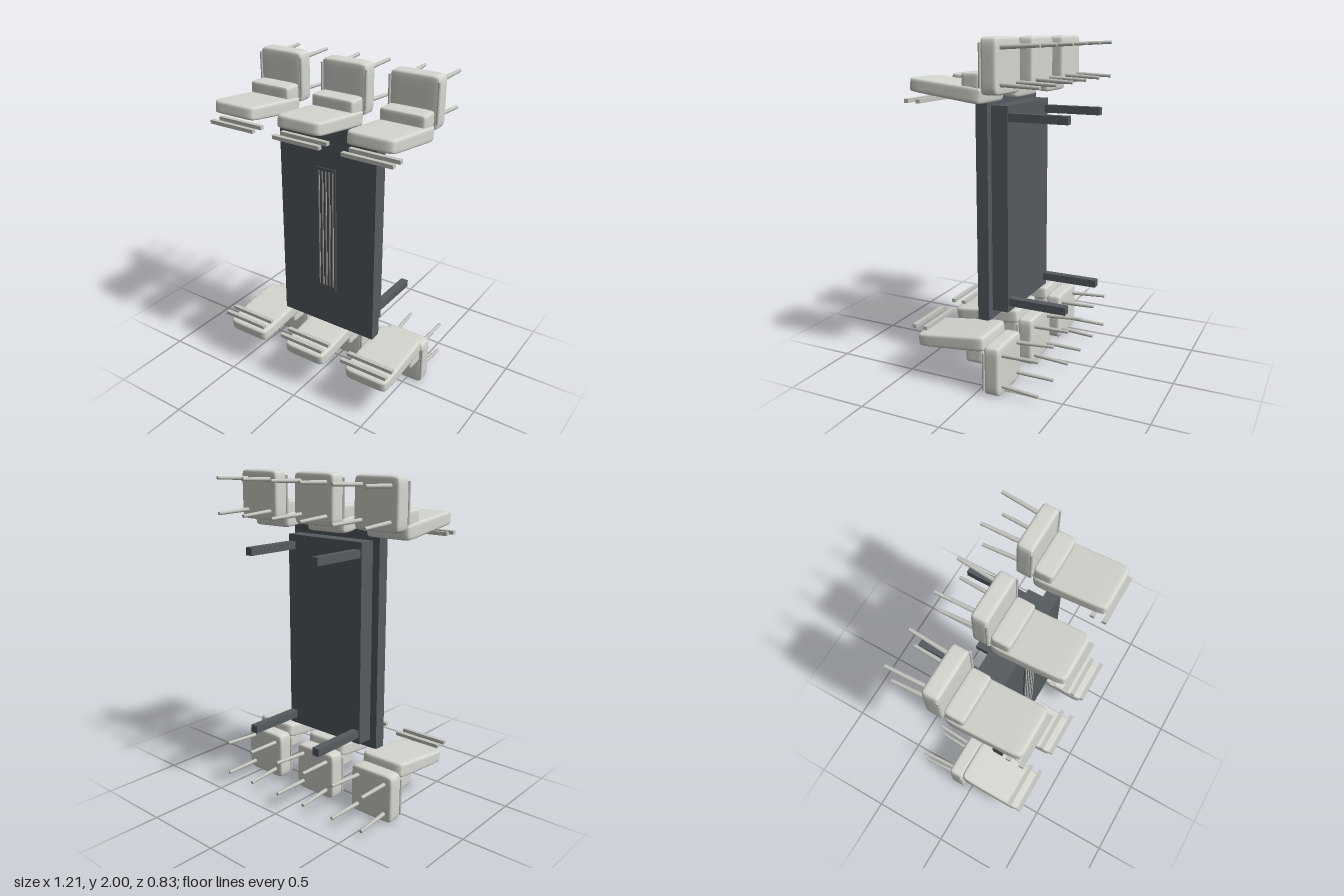
import * as THREE from 'three';
import { mergeVertices } from 'three/addons/utils/BufferGeometryUtils.js';

const material = (name, color) => {
  const m = new THREE.MeshStandardMaterial({ color });
  m.name = name;
  return m;
};

// Padded block with soft edges and slightly domed faces; taper narrows the +z end
function cushionGeometry(w, h, d, taper = 0, power = 10) {
  const geo = new THREE.BoxGeometry(2, 2, 2, 12, 12, 12);
  geo.deleteAttribute('uv');
  geo.deleteAttribute('normal');
  const merged = mergeVertices(geo);
  const pos = merged.attributes.position;
  const ease = (t) => Math.sin(t * Math.PI / 2);
  for (let i = 0; i < pos.count; i++) {
    const p = [pos.getX(i), pos.getY(i), pos.getZ(i)].map(ease);
    const len = Math.pow(p.reduce((s, c) => s + Math.pow(Math.abs(c), power), 0), 1 / power);
    const [x, y, z] = p.map((c) => c / len);
    const k = 1 - taper * (z + 1) / 2;
    pos.setXYZ(i, x * w / 2 * (1 - (1 - k) * 0.2), y * h / 2 * k, z * d / 2);
  }
  merged.computeVertexNormals();
  return merged;
}

export function createModel() {
  const dark = material('dark table', 0x565b5f);
  const fabric = material('light upholstery', 0xd6d6d1);
  const metal = material('light metal', 0xc4c4bf);

  const model = new THREE.Group();
  model.name = 'meetingTableWithChairs';

  const add = (parent, name, geo, mat, x, y, z) => {
    const mesh = new THREE.Mesh(geo, mat);
    mesh.name = name;
    mesh.position.set(x, y, z);
    parent.add(mesh);
    return mesh;
  };
  const box = (parent, name, w, h, d, mat, x, y, z) =>
    add(parent, name, new THREE.BoxGeometry(w, h, d), mat, x, y, z);

  // Table: its working surface faces +z and its legs run towards -z
  const table = new THREE.Group();
  table.name = 'table';
  table.position.y = 1;
  model.add(table);
  box(table, 'tableTop', 0.67, 1.34, 0.074, dark, 0, 0.005, 0.084);
  box(table, 'apron', 0.574, 1.23, 0.104, dark, 0, 0.004, -0.004);
  for (const x of [-0.256, 0.256]) {
    for (const y of [-0.547, 0.554]) {
      box(table, 'tableLeg', 0.048, 0.047, 0.364, dark, x, y, -0.235);
    }
  }

  // Raised centre strip with fine light inlays
  box(table, 'centreStrip', 0.134, 0.81, 0.008, dark, 0, 0.005, 0.124);
  for (let i = -2; i <= 2; i++) {
    box(table, 'inlay', 0.009, 0.77, 0.003, metal, i * 0.0245, 0.005, 0.1285);
  }

  // Chair geometries shared by all six chairs
  const seatGeo = cushionGeometry(0.302, 0.3, 0.098);
  const backGeo = cushionGeometry(0.302, 0.092, 0.452, 0.15);
  const lumbarGeo = cushionGeometry(0.28, 0.1, 0.116);
  const railGeo = new THREE.CylinderGeometry(0.008, 0.008, 0.23, 10);
  const barGeo = new THREE.BoxGeometry(0.311, 0.022, 0.026);

  // Chair coordinates are relative to the table centre
  function createChair(x) {
    const chair = new THREE.Group();
    chair.name = 'chair';
    chair.position.x = x;
    add(chair, 'seat', seatGeo, fabric, 0, 0.85, -0.099);
    add(chair, 'lumbarCushion', lumbarGeo, fabric, 0, 0.77, 0.012);
    const back = add(chair, 'backrest', backGeo, fabric, 0, 0.721, 0.171);
    back.rotation.x = -0.12;

    for (const z of [0.4, 0.327]) add(chair, 'backBar', barGeo, metal, 0, 0.657, z);

    for (const side of [-1, 1]) {
      add(chair, 'sideRail', railGeo, metal, side * 0.149, 0.855, -0.053);
      // Splayed legs
      for (const end of [-1, 1]) {
        const top = new THREE.Vector3(side * 0.096, 0.852 + end * 0.094, -0.12);
        const foot = new THREE.Vector3(side * 0.109, 0.852 + end * 0.105, -0.374);
        const dir = top.clone().sub(foot);
        const leg = add(chair, 'chairLeg',
          new THREE.CylinderGeometry(0.013, 0.010, dir.length(), 12), metal, 0, 0, 0);
        leg.position.addVectors(top, foot).multiplyScalar(0.5);
        leg.quaternion.setFromUnitVectors(new THREE.Vector3(0, 1, 0), dir.normalize());
      }
    }
    return chair;
  }

  // Two rows of three chairs, one row turned half round
  for (const turn of [0, Math.PI]) {
    const row = new THREE.Group();
    row.name = turn ? 'lowerChairRow' : 'upperChairRow';
    row.position.y = 1;
    row.rotation.z = turn;
    for (const x of [-0.45, 0, 0.45]) row.add(createChair(x));
    model.add(row);
  }
  return model;
}
